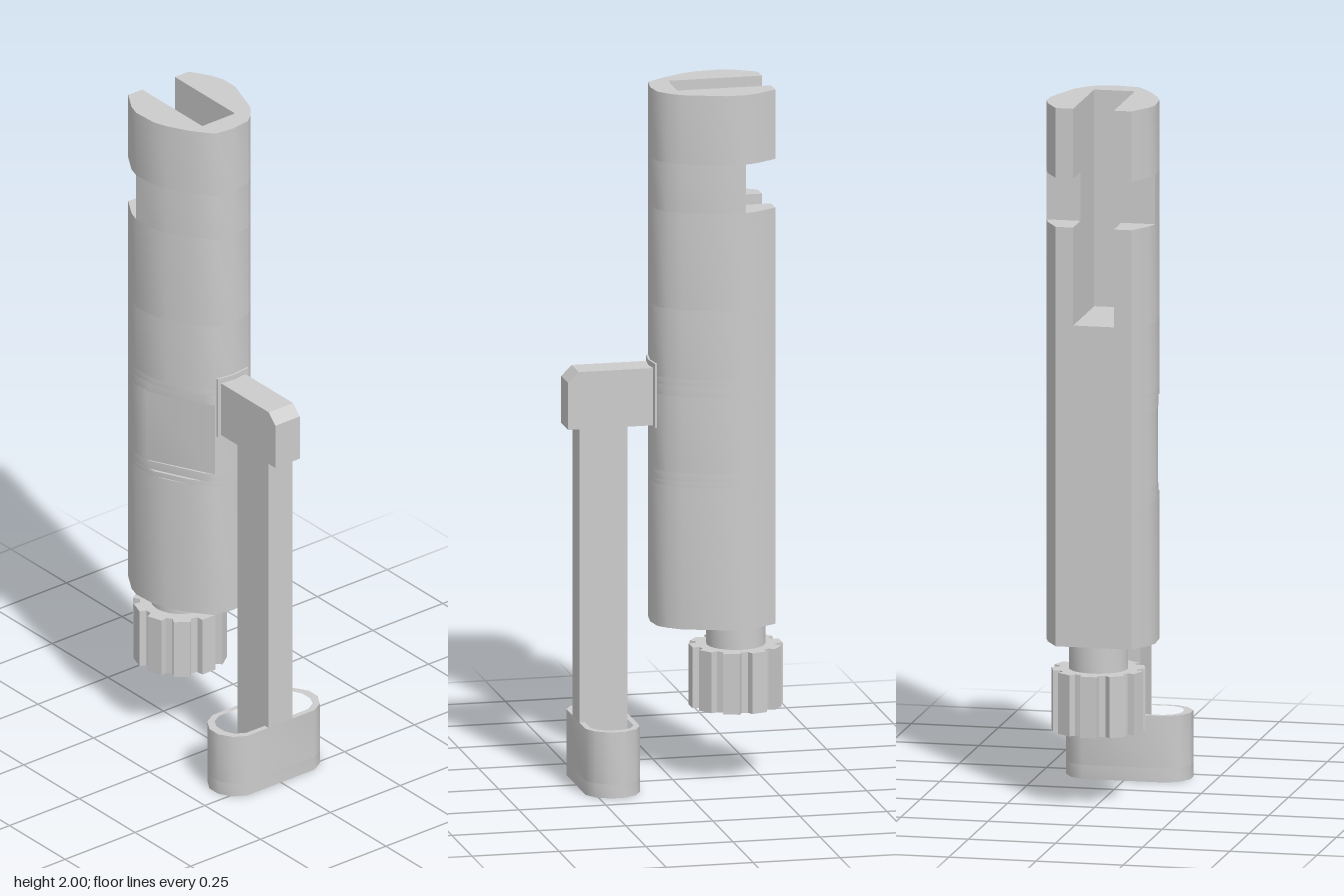
import * as THREE from 'three';
import { toCreasedNormals } from 'three/addons/utils/BufferGeometryUtils.js';

const material = new THREE.MeshStandardMaterial({ color: 0xcccccc });

// Outlines are lists of [x, z]; each is extruded upward from y0 to y1.
const flip = (pts) => pts.map(([x, z]) => new THREE.Vector2(x, -z));

function prism(name, pts, y0, y1, hole, crease = 0.8) {
  const shape = new THREE.Shape(flip(pts));
  if (hole) shape.holes.push(new THREE.Path(flip(hole)));
  const geo = new THREE.ExtrudeGeometry(shape, { depth: y1 - y0, bevelEnabled: false });
  geo.rotateX(-Math.PI / 2).translate(0, y0, 0);
  const mesh = new THREE.Mesh(toCreasedNormals(geo, crease), material);
  mesh.name = name;
  return mesh;
}

function ring(n, radius, cx, cz) {
  return Array.from({ length: n }, (_, i) => {
    const a = (i / n) * Math.PI * 2;
    return [cx + radius * Math.sin(a), cz - radius * Math.cos(a)];
  });
}

// Body outline: left rear round the front to right rear
const leftSide = [[0.107, -0.27], [0.143, -0.21], [0.154, -0.175], [0.154, -0.12],
  [0.113, 0], [0.085, 0.035], [0.057, 0.057]];
const rightSide = [[-0.06, 0.057], [-0.105, 0], [-0.138, -0.06], [-0.153, -0.1],
  [-0.157, -0.175], [-0.146, -0.21], [-0.11, -0.27]];
const tip = [0, 0.065];
const rearRight = rightSide.slice(4);

function createBody() {
  const body = new THREE.Group();
  body.name = 'body';
  const full = [...leftSide, tip, ...rightSide];
  const slot = [[-0.06, -0.27], [-0.06, 0], [0.057, 0], [0.057, -0.27]];
  const slotted = [...full, ...slot];
  const notched = [...leftSide.slice(2), tip, ...rightSide.slice(0, 5),
    [-0.06, -0.175], [-0.06, 0], [0.057, 0], [0.057, -0.175]];

  // Side recess: the right front corner is cut by a chord, shorter at both ends
  const recess = (a, b, keepFront) =>
    [...leftSide, tip, ...(keepFront ? [rightSide[0]] : []), a, b, ...rearRight];
  const small = recess([-0.105, 0], [-0.153, -0.1], true);
  const medium = recess([-0.08, 0.032], [-0.154, -0.12], true);
  const large = recess([-0.06, 0.057], [-0.155, -0.13], false);

  const slabs = [
    ['lowerBody', full, 0.46, 0.87],
    ['recessBottomEdge', small, 0.87, 0.885],
    ['recessBottomCorner', medium, 0.885, 0.91],
    ['recess', large, 0.91, 1.13],
    ['recessTopCorner', medium, 1.13, 1.16],
    ['recessTopEdge', small, 1.16, 1.18],
    ['middleBody', full, 1.18, 1.38],
    ['slottedBody', slotted, 1.38, 1.66],
    ['crossNotch', notched, 1.66, 1.8],
    ['slottedTop', slotted, 1.8, 2],
  ];
  for (const s of slabs) body.add(prism(...s));
  return body;
}

// Fluted knob with a hollow underside, hanging on a round stem
function createKnob() {
  const knob = new THREE.Group();
  knob.name = 'knob';
  const cx = 0.004, cz = -0.18, teeth = 10, outline = [];
  for (let i = 0; i < teeth; i++) {
    for (const [offset, r] of [[-0.23, 0.113], [-0.18, 0.132], [0.18, 0.132], [0.23, 0.113]]) {
      const a = (i / teeth) * Math.PI * 2 + offset;
      outline.push([cx + r * Math.sin(a), cz - r * Math.cos(a)]);
    }
  }
  knob.add(prism('knobRim', outline, 0.21, 0.24, ring(24, 0.085, cx, cz), 0.5));
  knob.add(prism('knobGrip', outline, 0.24, 0.385, null, 0.5));
  knob.add(prism('knobStem', ring(24, 0.083, cx, cz), 0.385, 0.46));
  return knob;
}

// Bracket and long leg, drawn from the side as [z, y]
function createArm() {
  const side = [[0.06, 1.2], [0.06, 1.035], [0.14, 1.035], [0.14, 0.02], [0.278, 0.02],
    [0.278, 1.035], [0.31, 1.035], [0.31, 1.17], [0.28, 1.2]];
  const shape = new THREE.Shape(side.map(([z, y]) => new THREE.Vector2(-z, y)));
  const geo = new THREE.ExtrudeGeometry(shape, { depth: 0.087, bevelEnabled: false });
  geo.rotateY(Math.PI / 2).translate(-0.045, 0, 0);
  const mesh = new THREE.Mesh(toCreasedNormals(geo, 0.5), material);
  mesh.name = 'arm';
  return mesh;
}

// Oblong open cup with faceted round ends
function createCup() {
  const oblong = (quarter, cz) => {
    const half = [...quarter.map(([x, d]) => [x, cz - d]),
      ...quarter.slice().reverse().map(([x, d]) => [x, cz + d])];
    return [...half, ...half.slice().reverse().map(([x, z]) => [-x, z])];
  };
  const outer = oblong([[0.12, 0.078], [0.155, 0.058], [0.178, 0.02]], 0.2);
  const inner = oblong([[0.11, 0.062], [0.14, 0.045], [0.153, 0.018]], 0.2);
  const cup = new THREE.Group();
  cup.name = 'cup';
  cup.add(prism('cupFloor', outer, 0, 0.04));
  cup.add(prism('cupWall', outer, 0.04, 0.19, inner));
  return cup;
}

export function createModel() {
  const model = new THREE.Group();
  model.name = 'slottedHolder';
  model.add(createBody(), createKnob(), createArm(), createCup());
  // Thin mounting plate following the front of the body
  const plate = [[0.055, 0.04], [0.055, 0.064], [0, 0.071], [-0.055, 0.064], [-0.055, 0.04]];
  model.add(prism('mountingPlate', plate, 1.03, 1.215));
  return model;
}
